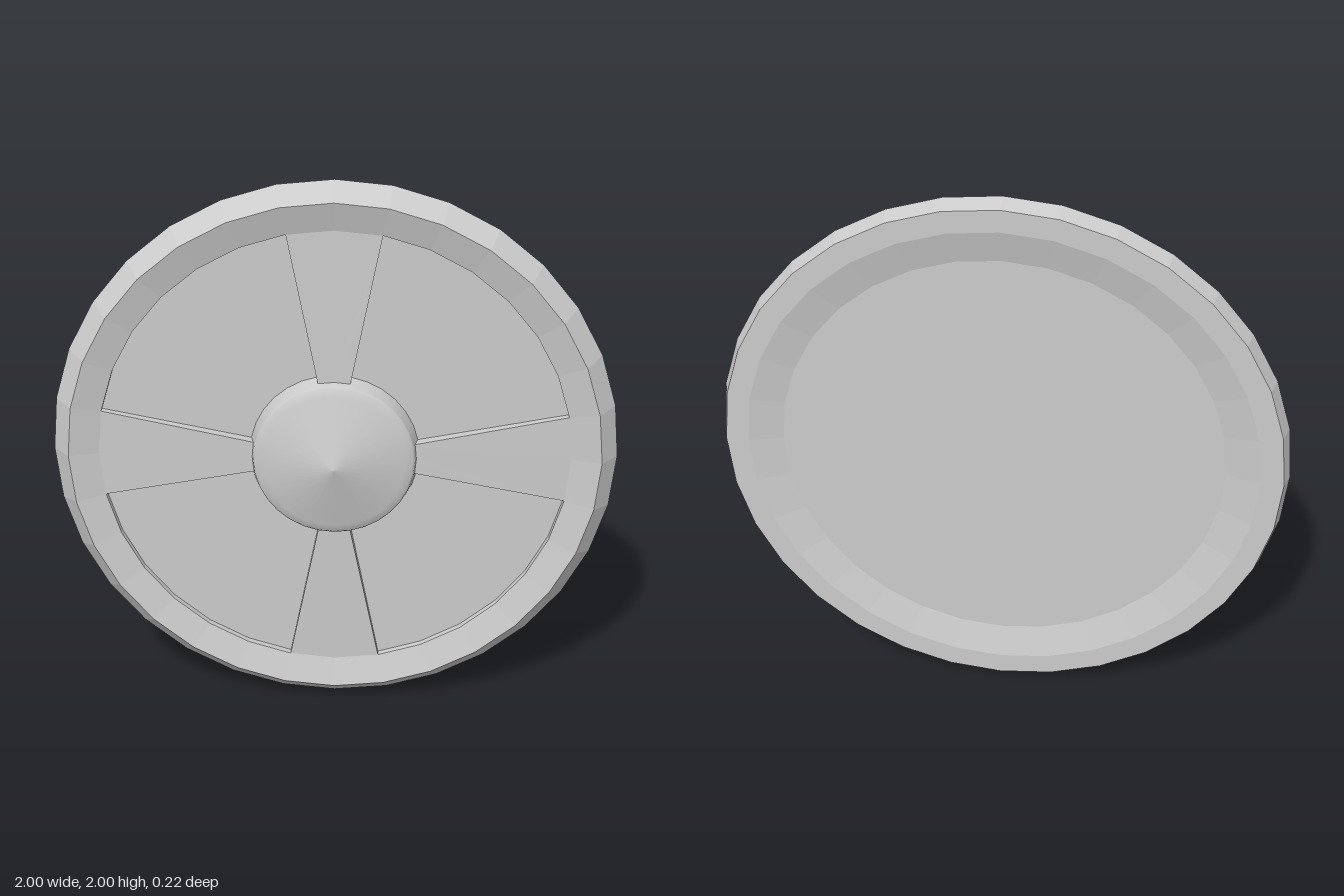
import * as THREE from 'three';

const SEGMENTS = 32;
const PANEL_Z = -0.035; // recessed panels
const RING_IN = 0.835; // inner radius of the rim
const STEP = (Math.PI * 2) / SEGMENTS;

const flat = new THREE.MeshStandardMaterial({ color: 0xcccccc, flatShading: true });
const smooth = new THREE.MeshStandardMaterial({ color: 0xcccccc });

// Turn a [radius, z] profile about the z axis
function turned(name, profile, segments, material) {
  const points = profile.map(([r, z]) => new THREE.Vector2(r, z));
  const geometry = new THREE.LatheGeometry(points, segments);
  geometry.rotateX(Math.PI / 2);
  const mesh = new THREE.Mesh(geometry, material);
  mesh.name = name;
  return mesh;
}

// Raised wedge two segments wide, pointing up
function spokeGeometry() {
  const inner = 0.2;
  const at = (r, a) => new THREE.Vector2(r * Math.sin(a), r * Math.cos(a));
  const shape = new THREE.Shape([
    at(inner, -STEP), at(inner, 0), at(inner, STEP),
    at(RING_IN, STEP), at(RING_IN, 0), at(RING_IN, -STEP),
  ]);
  const geometry = new THREE.ExtrudeGeometry(shape, { depth: 0.03, bevelEnabled: false });
  // The front face rises slightly from the rim to the hub
  const p = geometry.attributes.position;
  for (let i = 0; i < p.count; i++) {
    const r = Math.hypot(p.getX(i), p.getY(i));
    const front = THREE.MathUtils.mapLinear(r, inner, RING_IN, 0.005, -0.01);
    p.setZ(i, p.getZ(i) > 0.015 ? front : PANEL_Z);
  }
  geometry.computeVertexNormals();
  return geometry;
}

export function createModel() {
  const shield = new THREE.Group();
  shield.name = 'roundShield';
  const disc = new THREE.Group();
  disc.name = 'disc';
  disc.position.y = 1;
  shield.add(disc);

  // Dished back, rim and recessed front panels
  disc.add(turned('shieldBody', [
    [0, -0.08], [0.78, -0.08], [0.9, -0.11], [0.98, -0.11], [1, -0.05],
    [0.94, 0.02], [RING_IN, -0.01], [RING_IN, PANEL_Z], [0, PANEL_Z],
  ], SEGMENTS, flat));

  // Four spokes in a cross
  const spoke = spokeGeometry();
  for (let i = 0; i < 4; i++) {
    const mesh = new THREE.Mesh(spoke, flat);
    mesh.name = 'spoke';
    mesh.rotation.z = (i * Math.PI) / 2;
    disc.add(mesh);
  }

  // Hub wall and pointed boss
  disc.add(turned('hubWall', [[0.3, PANEL_Z], [0.285, 0.022]], SEGMENTS, smooth));
  disc.add(turned('boss', [[0.285, 0.022], [0.277, 0.032], [0.25, 0.041], [0, 0.11]], SEGMENTS, smooth));

  return shield;
}
